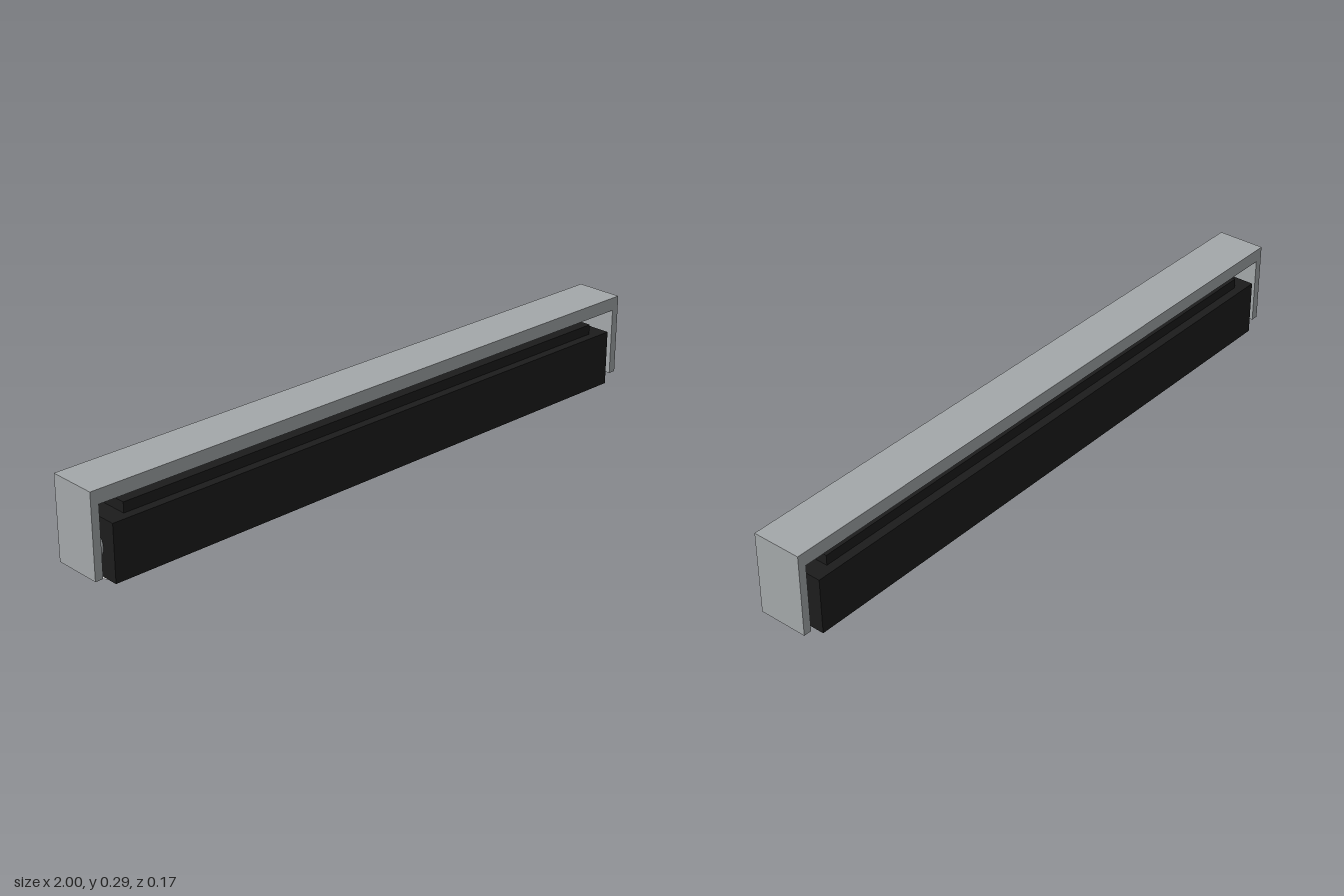
import * as THREE from 'three';

export function createModel() {
  const model = new THREE.Group();
  const black = new THREE.MeshStandardMaterial({ color: 0x1c1c1c });
  const metal = new THREE.MeshStandardMaterial({ color: 0xa4a8aa });
  const chrome = new THREE.MeshStandardMaterial({ color: 0xcccccc, side: THREE.DoubleSide });

  const add = (name, geometry, material, x = 0, y = 0, z = 0) => {
    const mesh = new THREE.Mesh(geometry, material);
    mesh.name = name;
    mesh.position.set(x, y, z);
    model.add(mesh);
    return mesh;
  };

  // U-shaped mounting bracket, extruded along z
  const u = new THREE.Shape([
    [-1, 0.037], [-0.976, 0.037], [-0.976, 0.245], [0.976, 0.245],
    [0.976, 0.037], [1, 0.037], [1, 0.286], [-1, 0.286],
  ].map(([x, y]) => new THREE.Vector2(x, y)));
  const bracket = new THREE.ExtrudeGeometry(u, { depth: 0.15, bevelEnabled: false });
  add('bracket', bracket, metal, 0, 0, -0.075);

  // Long housing with a narrower raised block on top
  add('housing', new THREE.BoxGeometry(1.89, 0.17, 0.17), black, 0, 0.1, 0);
  add('topBlock', new THREE.BoxGeometry(1.78, 0.04, 0.116), black, 0, 0.196, 0);

  // Pivots joining the housing ends to the bracket
  for (const side of [-1, 1]) {
    const pivot = add(side > 0 ? 'leftPivot' : 'rightPivot',
      new THREE.CylinderGeometry(0.04, 0.04, 0.045, 24), metal, side * 0.96, 0.1, 0);
    pivot.rotation.z = Math.PI / 2;
  }

  // Row of flared, open lamp rings under the housing
  const count = 20;
  const ring = new THREE.CylinderGeometry(0.032, 0.042, 0.016, 24, 1, true);
  for (let i = 0; i < count; i++) {
    add('lampRing' + (i + 1), ring, chrome, -0.898 + (i * 1.796) / (count - 1), 0.008, 0);
  }

  return model;
}
